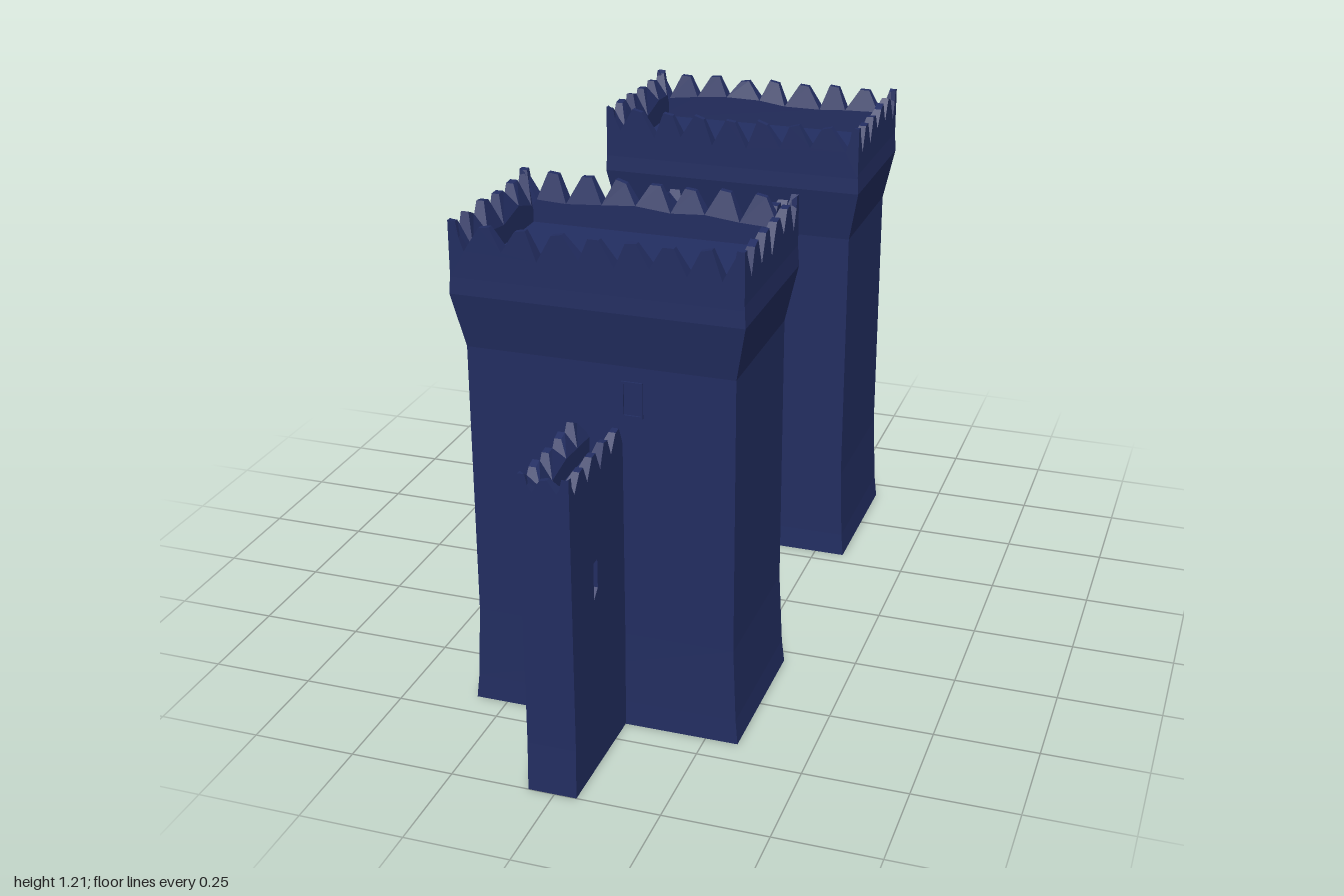
import * as THREE from 'three';

export function createModel() {
  const castle = new THREE.Group();
  castle.name = 'castleGatehouse';
  const stone = new THREE.MeshStandardMaterial({ color: 0x232e62 });
  stone.name = 'dark blue stone';

  let seed = 7;
  const rand = () => (seed = (seed * 16807) % 2147483647) / 2147483647 - 0.5;

  const add = (parent, geo, name, x = 0, y = 0, z = 0) => {
    const m = new THREE.Mesh(geo, stone);
    m.name = name;
    m.position.set(x, y, z);
    parent.add(m);
    return m;
  };
  const group = (name, x, z) => {
    const g = new THREE.Group();
    g.name = name;
    g.position.set(x, 0, z);
    castle.add(g);
    return g;
  };
  // extrusion centred on its own thickness
  const slab = (shape, t) =>
    new THREE.ExtrudeGeometry(shape, { depth: t, bevelEnabled: false, curveSegments: 8 }).translate(0, 0, -t / 2);

  // stacked rectangular sections [y, halfX, halfZ] with closed ends
  function loft(sections) {
    const pos = [];
    const ring = ([y, a, b]) => [[-a, y, b], [a, y, b], [a, y, -b], [-a, y, -b]];
    const quad = (a, b, c, d) => pos.push(...a, ...b, ...c, ...a, ...c, ...d);
    for (let i = 0; i < sections.length - 1; i++) {
      const lo = ring(sections[i]), hi = ring(sections[i + 1]);
      for (let k = 0; k < 4; k++) {
        const n = (k + 1) % 4;
        quad(lo[k], lo[n], hi[n], hi[k]);
      }
    }
    const bottom = ring(sections[0]), top = ring(sections[sections.length - 1]);
    quad(bottom[3], bottom[2], bottom[1], bottom[0]);
    quad(...top);
    const geo = new THREE.BufferGeometry();
    geo.setAttribute('position', new THREE.Float32BufferAttribute(pos, 3));
    geo.computeVertexNormals();
    return geo;
  }

  // worn battlement: toothed wall facing +z, its teeth thinning on the inner side
  function battlement(len, teeth, y0, valley, peak, t) {
    const s = new THREE.Shape(), h = len / 2, step = len / teeth, tip = step * 0.15;
    s.moveTo(-h, y0);
    s.lineTo(h, y0);
    s.lineTo(h, peak);
    for (let i = teeth; i > 0; i--) {
      const u = -h + i * step;
      s.lineTo(u - tip, peak - 0.012 * (rand() + 0.5));
      s.lineTo(u - step * (0.5 + rand() * 0.2), valley + rand() * 0.025);
      s.lineTo(u - step + tip, peak - 0.012 * (rand() + 0.5));
    }
    s.lineTo(-h, peak);
    const geo = slab(s, t), p = geo.attributes.position;
    for (let i = 0; i < p.count; i++) {
      if (p.getZ(i) < 0 && p.getY(i) > peak - 0.02) p.setZ(i, t * 0.05);
    }
    geo.computeVertexNormals();
    return geo;
  }

  // small raised window surround
  function windowFrame(w, h) {
    const rect = (C, a, b) => new C([[-a, -b], [a, -b], [a, b], [-a, b]].map(p => new THREE.Vector2(...p)));
    const s = rect(THREE.Shape, w / 2, h / 2);
    s.holes.push(rect(THREE.Path, w / 2 - 0.005, h / 2 - 0.005));
    return slab(s, 0.009);
  }

  // two flared main towers
  for (const side of [1, -1]) {
    const tower = group(side > 0 ? 'frontTower' : 'backTower', 0, side * 0.4875);
    add(tower, loft([
      [0, 0.328, 0.196], [0.06, 0.322, 0.193], [0.24, 0.314, 0.189], [0.91, 0.315, 0.187],
      [1.04, 0.341, 0.209], [1.09, 0.338, 0.207],
    ]), 'towerBody');
    for (const s of [1, -1]) {
      add(tower, battlement(0.676, 8, 1.08, 1.145, 1.21, 0.035).rotateY(s > 0 ? 0 : Math.PI),
        'towerBattlement', 0, 0, s * 0.19);
      add(tower, battlement(0.414, 5, 1.08, 1.145, 1.21, 0.04).rotateY(s * Math.PI / 2),
        'towerBattlement', s * 0.318);
    }
    const wx = side > 0 ? 0.077 : -0.185, wy = side > 0 ? 0.833 : 0.74;
    add(tower, windowFrame(0.05, 0.085), 'towerWindow', wx, wy, side * 0.187);
  }

  // gatehouse: leaning door in a shallow arch, cornice and battlements
  const gate = group('gatehouse', -0.005, 0);
  add(gate, loft([
    [0, 0.132, 0.31], [0.3, 0.122, 0.31], [0.57, 0.108, 0.31], [0.59, 0.085, 0.31], [0.9, 0.085, 0.31],
  ]), 'gateDoor');
  const face = new THREE.Shape();
  face.moveTo(-0.31, 0);
  face.lineTo(-0.19, 0);
  face.lineTo(-0.19, 0.5);
  face.quadraticCurveTo(-0.17, 0.64, 0, 0.7);
  face.quadraticCurveTo(0.17, 0.64, 0.19, 0.5);
  face.lineTo(0.19, 0);
  face.lineTo(0.31, 0);
  face.lineTo(0.31, 0.88);
  face.lineTo(-0.31, 0.88);
  for (const s of [1, -1]) {
    add(gate, slab(face, 0.065).rotateY(Math.PI / 2), 'gateArch', s * 0.1075);
    add(gate, battlement(0.61, 6, 0.92, 0.97, 1.02, 0.05).rotateY(s * Math.PI / 2), 'gateBattlement', s * 0.135);
    // spikes of the raised portcullis
    for (let i = -2; i <= 2; i++) {
      add(gate, new THREE.ConeGeometry(0.024, 0.09, 4).rotateX(Math.PI), 'portcullisSpike',
        s * 0.11, 0.63 - Math.abs(i) * 0.02, i * 0.06);
    }
  }
  add(gate, loft([[0.8, 0.14, 0.31], [0.92, 0.16, 0.31], [0.935, 0.16, 0.31]]), 'gateCornice');

  // outer curtain walls with an arrow slit, running into the towers
  for (const side of [1, -1]) {
    const wall = group(side > 0 ? 'frontWall' : 'backWall', -0.005, side * 0.81);
    const s = new THREE.Shape();
    s.moveTo(-0.19, 0);
    s.lineTo(0.19, 0);
    s.lineTo(0.185, 0.12);
    s.lineTo(0.185, 0.69);
    s.lineTo(-0.185, 0.69);
    s.lineTo(-0.185, 0.12);
    const slit = new THREE.Path(), u = -side * 0.045;
    slit.moveTo(u - 0.012, 0.43);
    slit.lineTo(u + 0.012, 0.45);
    slit.lineTo(u + 0.012, 0.52);
    slit.lineTo(u - 0.012, 0.52);
    s.holes.push(slit);
    add(wall, slab(s, 0.115).rotateY(Math.PI / 2), 'wallBody');
    // the front slit is blocked inside
    if (side > 0) add(wall, new THREE.BoxGeometry(0.05, 0.14, 0.06), 'slitInfill', 0, 0.48, 0.045);
    for (const k of [1, -1]) {
      add(wall, battlement(0.36, 5, 0.68, 0.725, 0.78, 0.036).rotateY(k * Math.PI / 2), 'wallBattlement',
        k * 0.0395, 0, side * 0.005);
    }
    add(wall, battlement(0.115, 2, 0.68, 0.735, 0.78, 0.03).rotateY(side > 0 ? 0 : Math.PI),
      'wallEndBattlement', 0, 0, side * 0.17);
  }

  return castle;
}
